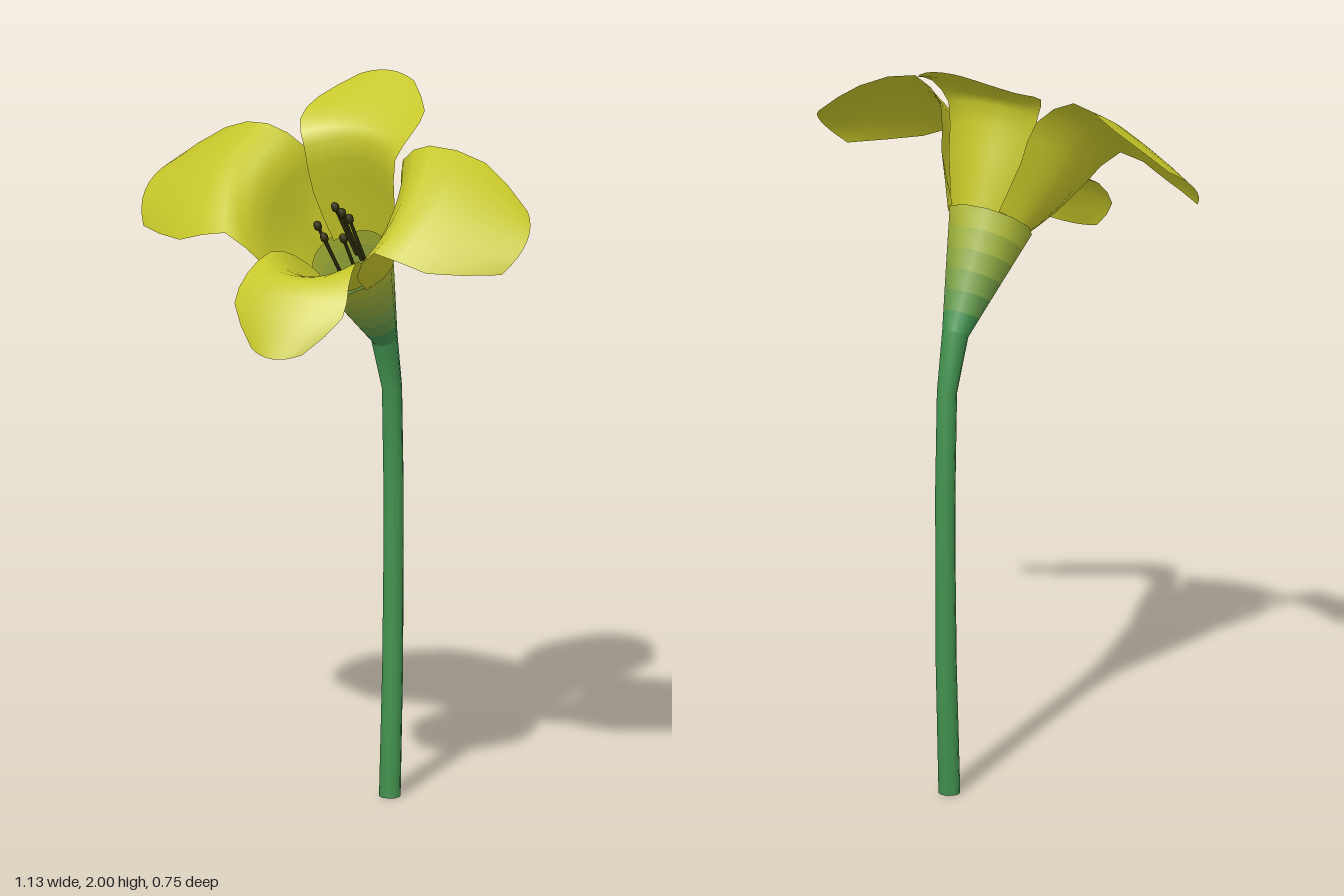
import * as THREE from 'three';

const YELLOW = 0xc6c62a, GREEN = 0x42924f, DARK = 0x34320f;
const V = (p) => new THREE.Vector3(...p);
const material = (color) => new THREE.MeshStandardMaterial({ color, side: THREE.DoubleSide });

// Grid of points -> smooth surface
function gridGeometry(rows, wrap = false) {
  const n = rows[0].length, index = [];
  for (let i = 0; i < rows.length - 1; i++) {
    for (let j = 0; j < (wrap ? n : n - 1); j++) {
      const a = i * n + j, b = i * n + (j + 1) % n;
      index.push(a, a + n, b, b, a + n, b + n);
    }
  }
  const g = new THREE.BufferGeometry().setFromPoints(rows.flat());
  g.setIndex(index);
  g.computeVertexNormals();
  return g;
}

function addMesh(parent, name, geometry, color) {
  const mesh = new THREE.Mesh(geometry, material(color));
  mesh.name = name;
  parent.add(mesh);
  return mesh;
}

// Ring of points: height, depth, radius, forward tilt
function ring([y, z, r, tilt], sides = 10) {
  return Array.from({ length: sides }, (_, k) => {
    const a = (k / sides) * Math.PI * 2;
    return new THREE.Vector3(Math.cos(a) * r, 0, -Math.sin(a) * r)
      .applyAxisAngle(new THREE.Vector3(1, 0, 0), tilt)
      .add(new THREE.Vector3(-0.007, y, z));
  });
}

// Petal from rows of [edge, middle, edge], curved across and along
function petalGeometry(sections, along = 10, across = 8) {
  const [a, m, b] = [0, 1, 2].map((k) => new THREE.CatmullRomCurve3(sections.map((s) => V(s[k]))));
  const rows = [];
  for (let i = 0; i <= along; i++) {
    const u = i / along, pa = a.getPoint(u), pm = m.getPoint(u), pb = b.getPoint(u);
    rows.push(Array.from({ length: across + 1 }, (_, j) => {
      const t = (j / across) * 2 - 1;
      return pm.clone().multiplyScalar(1 - t * t)
        .addScaledVector(pa, (t * (t - 1)) / 2)
        .addScaledVector(pb, (t * (t + 1)) / 2);
    }));
  }
  return gridGeometry(rows);
}

// Symmetric row: half width, edge y/z, middle y/z
const evenRow = ([w, ey, ez, my, mz]) => [[-w, ey, ez], [0, my, mz], [w, ey, ez]];

export function createModel() {
  const flower = new THREE.Group();
  flower.name = 'flower';

  // Bent stem with a closed foot
  const neck = [1.27, -0.293, 0.036, 0.5];
  addMesh(flower, 'stem', gridGeometry([
    [0, -0.325, 0.001, 0], [0, -0.325, 0.029, 0], [0.36, -0.342, 0.028, 0.02], [0.62, -0.346, 0.027, 0],
    [0.85, -0.347, 0.027, 0], [1.12, -0.338, 0.027, 0.15], neck,
  ].map((r) => ring(r)), true), GREEN);

  // Funnel below the petals, fading from green to yellow
  const funnel = new THREE.Group();
  funnel.name = 'funnel';
  flower.add(funnel);
  const rim = [1.53, -0.1, 0.116, 0.64], bands = 6;
  const mix = (t) => ring(neck.map((v, k) => THREE.MathUtils.lerp(v, rim[k], t)));
  for (let i = 0; i < bands; i++) {
    const color = new THREE.Color(GREEN).lerp(new THREE.Color(YELLOW), (i / bands) * 0.85);
    addMesh(funnel, 'funnelBand', gridGeometry([mix(i / bands), mix((i + 1) / bands)], true), color);
  }

  // Upper petal, rising then folding back
  addMesh(flower, 'upperPetal', petalGeometry([
    [0.085, 1.56, -0.15, 1.59, -0.185],
    [0.12, 1.7, -0.1, 1.74, -0.145],
    [0.135, 1.83, -0.075, 1.86, -0.115],
    [0.165, 1.895, -0.11, 1.91, -0.16],
    [0.157, 1.935, -0.205, 1.955, -0.23],
    [0.08, 1.985, -0.295, 2.0, -0.312],
  ].map(evenRow)), YELLOW);

  // Lower petal, reaching forward then drooping
  addMesh(flower, 'lowerPetal', petalGeometry([
    [0.08, 1.5, -0.05, 1.465, -0.02],
    [0.1, 1.57, 0.05, 1.505, 0.08],
    [0.125, 1.6, 0.14, 1.56, 0.19],
    [0.15, 1.56, 0.23, 1.565, 0.255],
    [0.16, 1.49, 0.285, 1.485, 0.325],
    [0.075, 1.395, 0.355, 1.38, 0.378],
  ].map(evenRow)), YELLOW);

  // Side petals, mirrored
  const side = [
    [[0.07, 1.585, -0.17], [0.115, 1.53, -0.1], [0.07, 1.475, -0.03]],
    [[0.12, 1.72, -0.14], [0.165, 1.63, -0.01], [0.11, 1.52, 0.07]],
    [[0.145, 1.825, -0.1], [0.2, 1.73, 0.07], [0.14, 1.57, 0.16]],
    [[0.24, 1.885, -0.068], [0.27, 1.785, 0.075], [0.22, 1.66, 0.222]],
    [[0.385, 1.845, -0.11], [0.41, 1.755, 0.04], [0.365, 1.617, 0.2]],
    [[0.53, 1.74, -0.07], [0.565, 1.68, 0.005], [0.53, 1.605, 0.085]],
  ];
  for (const [name, s] of [['leftPetal', 1], ['rightPetal', -1]]) {
    const sections = side.map((row) => row.map(([x, y, z]) => [x * s, y, z]));
    addMesh(flower, name, petalGeometry(sections), YELLOW);
  }

  // Stamens: thin filaments with pointed heads
  const stamens = new THREE.Group();
  stamens.name = 'stamens';
  flower.add(stamens);
  const axis = new THREE.Vector3(0, 0.8, 0.6);
  const tips = [[-0.047, 1.65, 0.02], [-0.02, 1.625, 0.035], [-0.015, 1.695, -0.02],
    [0.01, 1.685, -0.01], [0.037, 1.675, 0], [0.037, 1.63, 0.035]];
  for (const p of tips) {
    const tip = V(p), base = tip.clone().addScaledVector(axis, -0.2);
    base.x *= 0.8;
    addMesh(stamens, 'filament', new THREE.TubeGeometry(new THREE.LineCurve3(base, tip), 1, 0.005, 5), DARK);
    const head = addMesh(stamens, 'anther', new THREE.SphereGeometry(0.012, 6, 5), DARK);
    head.scale.y = 1.4;
    head.position.copy(tip);
    head.quaternion.setFromUnitVectors(new THREE.Vector3(0, 1, 0), axis);
  }
  return flower;
}
